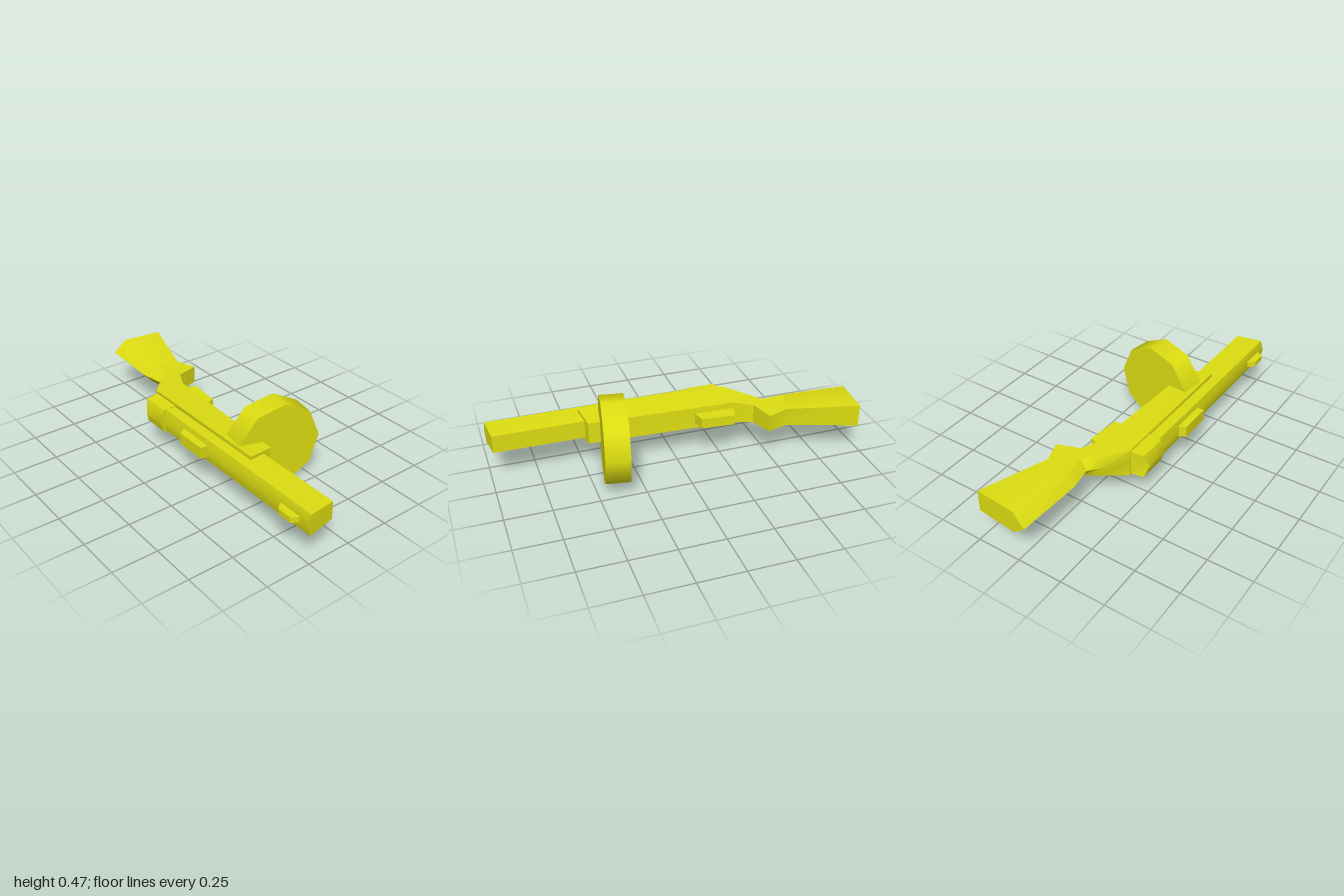
import * as THREE from 'three';
import { toCreasedNormals } from 'three/addons/utils/BufferGeometryUtils.js';

const yellow = new THREE.MeshStandardMaterial({ color: 0xdede12 });
yellow.name = 'yellow';

// Loft through five-sided sections running along x.
// Station: bottom [x, z, yLow, yHigh], shoulder [x, z, yLow, yHigh], ridge [x, z]
function loft(stations) {
  const pos = [];
  const rings = stations.map(([b, s, r]) => [
    [b[0], b[2], b[1]], [b[0], b[3], b[1]], [s[0], s[3], s[1]],
    [r[0], (s[2] + s[3]) / 2, r[1]], [s[0], s[2], s[1]],
  ]);
  const tri = (a, b, c) => pos.push(...a, ...b, ...c);
  for (let i = 0; i < rings.length - 1; i++) {
    const p = rings[i], q = rings[i + 1];
    for (let j = 0; j < 5; j++) {
      const k = (j + 1) % 5;
      tri(p[j], p[k], q[j]);
      tri(p[k], q[k], q[j]);
    }
  }
  const first = rings[0], last = rings[rings.length - 1];
  for (let j = 1; j < 4; j++) {
    tri(first[0], first[j + 1], first[j]);
    tri(last[0], last[j], last[j + 1]);
  }
  const geo = new THREE.BufferGeometry();
  geo.setAttribute('position', new THREE.Float32BufferAttribute(pos, 3));
  return toCreasedNormals(geo, 0.75);
}

// Side profile in x and z, given thickness along y
function plate(points, yLow, yHigh) {
  const shape = new THREE.Shape(points.map(([x, z]) => new THREE.Vector2(x, z)));
  return new THREE.ExtrudeGeometry(shape, { depth: yHigh - yLow, bevelEnabled: false })
    .rotateX(Math.PI / 2).translate(0, yHigh, 0);
}

export function createModel() {
  const group = new THREE.Group();
  const add = (name, geometry) => {
    const mesh = new THREE.Mesh(geometry, yellow);
    mesh.name = name;
    group.add(mesh);
    return mesh;
  };

  // Stock, grip and receiver in one continuous body
  add('stockAndReceiver', loft([
    [[-0.97, -0.25, 0.175, 0.3], [-0.99, -0.02, 0.17, 0.303], [-1, 0.055]],
    [[-0.585, -0.13, 0.185, 0.285], [-0.63, 0.02, 0.18, 0.29], [-0.64, 0.07]],
    [[-0.47, -0.17, 0.188, 0.284], [-0.5, 0.01, 0.184, 0.29], [-0.51, 0.05]],
    [[-0.43, -0.04, 0.182, 0.29], [-0.44, 0.08, 0.17, 0.296], [-0.445, 0.1]],
    [[-0.33, 0.012, 0.172, 0.297], [-0.33, 0.19, 0.148, 0.309], [-0.33, 0.192]],
    [[0.48, 0.05, 0.172, 0.295], [0.5, 0.192, 0.146, 0.307], [0.5, 0.194]],
  ]));

  // Barrel
  add('barrel', loft([
    [[-0.28, 0.1, 0.18, 0.283], [-0.28, 0.25, 0.16, 0.292], [-0.28, 0.262]],
    [[0.98, 0.103, 0.183, 0.283], [0.997, 0.252, 0.167, 0.289], [1, 0.268]],
  ]));

  // Raised collar at the back of the barrel
  add('collar', loft([
    [[-0.325, 0.17, 0.155, 0.296], [-0.31, 0.262, 0.155, 0.292], [-0.29, 0.283]],
    [[-0.15, 0.17, 0.155, 0.296], [-0.15, 0.262, 0.155, 0.292], [-0.15, 0.284]],
  ]));

  // Blocks on top of the barrel and under the receiver
  add('topBlock', plate([[0.03, 0.24], [0.03, 0.262], [0.05, 0.297], [0.232, 0.297], [0.232, 0.24]], 0.195, 0.26));
  add('frontSight', plate([[0.8, 0.25], [0.805, 0.268], [0.835, 0.302], [0.915, 0.302], [0.945, 0.25]], 0.213, 0.245));
  add('triggerBlock', plate([[-0.335, 0.03], [-0.31, -0.065], [-0.125, -0.048], [-0.11, 0.03]], 0.205, 0.262));

  // Nine-sided drum, slightly tilted
  const drum = new THREE.CylinderGeometry(0.24, 0.24, 0.131, 9, 1, false, THREE.MathUtils.degToRad(182.5));
  drum.rotateZ(-Math.PI / 2).rotateY(THREE.MathUtils.degToRad(-10));
  add('drum', drum).position.set(0.368, 0.238, -0.059);

  return group;
}
